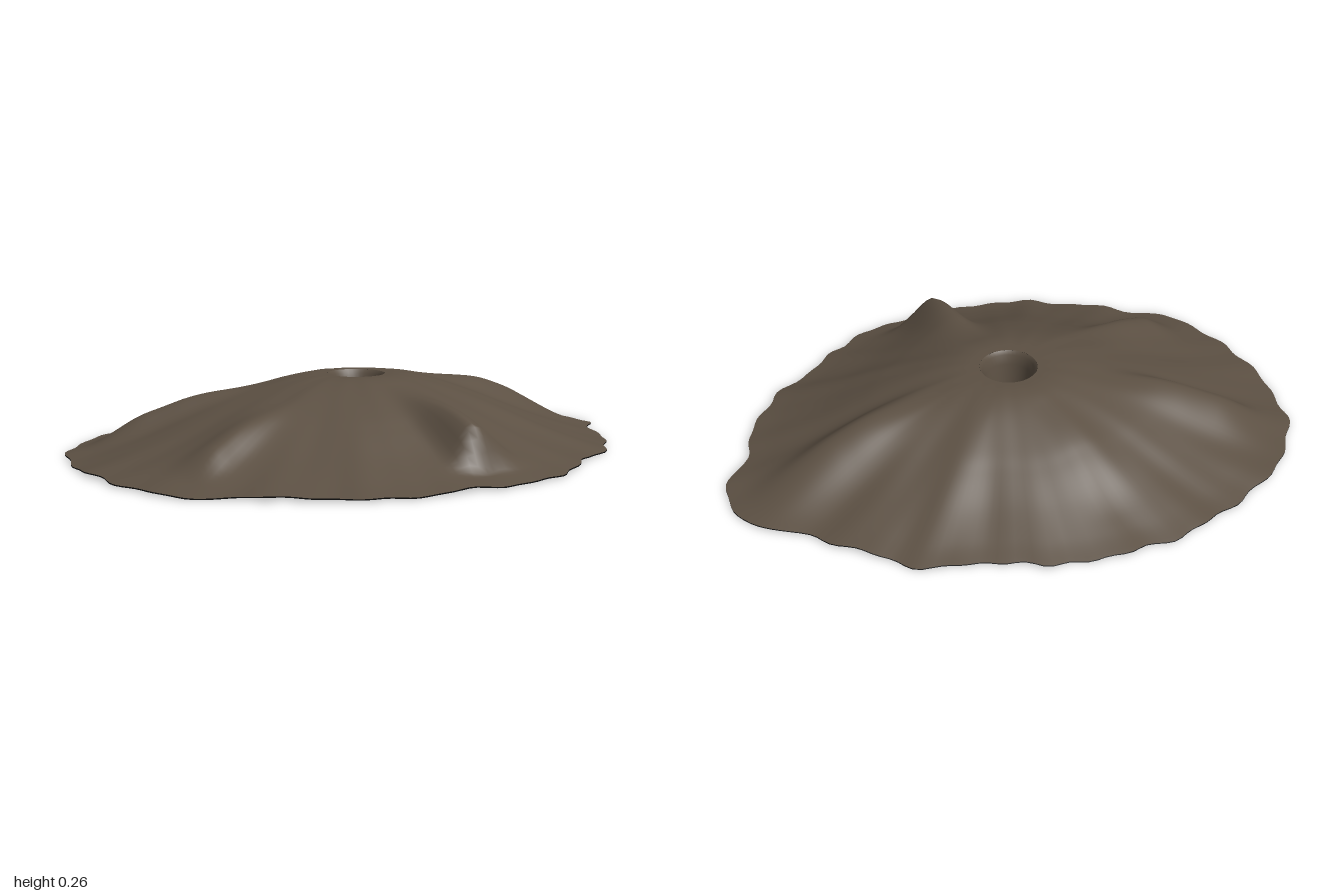
import * as THREE from 'three';

const CX = -0.015, CZ = 0.01, HOLE = 0.1;
const SEG = 192, RINGS = 56;

// Rim outline seen from above, as x, z pairs
const OUTLINE = [
  [0.1, -1], [0.2, -0.9], [0.4, -0.79], [0.56, -0.63], [0.63, -0.48], [0.76, -0.27],
  [0.8, -0.05], [0.77, 0.2], [0.73, 0.4], [0.6, 0.6], [0.41, 0.83], [0.34, 0.91],
  [0.2, 0.96], [0, 0.99], [-0.2, 0.98], [-0.42, 0.92], [-0.58, 0.8], [-0.7, 0.61],
  [-0.75, 0.44], [-0.8, 0.25], [-0.79, 0.05], [-0.73, -0.2], [-0.61, -0.42],
  [-0.57, -0.55], [-0.4, -0.71], [-0.2, -0.88], [-0.09, -0.99],
];

// Slope from the hole (0) to the rim (1), with its height
const PROFILE = [
  [0, 0.268], [0.07, 0.267], [0.15, 0.257], [0.26, 0.232], [0.43, 0.182],
  [0.545, 0.143], [0.716, 0.085], [0.886, 0.038], [1, 0.014],
];

// Ridges: direction, start, full from, full to, end, height, width on each side
const RIDGES = [
  { u: [0.03, -1], s: [0.25, 0.6, 0.65, 0.98], h: 0.045, w: [0.12, 0.06] },
  { u: [1, 0.03], s: [0.22, 0.64, 0.66, 0.74], h: 0.115, w: [0.11, 0.06] },
  { u: [0.34, 0.94], s: [0.35, 0.68, 0.74, 0.89], h: 0.045, w: [0.045, 0.1] },
  { u: [-0.43, 0.84], s: [0.28, 0.62, 0.72, 0.94], h: 0.05, w: [0.05, 0.13] },
  { u: [-1, 0.08], s: [0.22, 0.42, 0.45, 0.65], h: 0.02, w: [0.1, 0.07] },
];

function ridgeHeight(x, z) {
  let sum = 0;
  for (const { u, s, h, w } of RIDGES) {
    const len = Math.hypot(u[0], u[1]);
    const along = (x * u[0] + z * u[1]) / len;
    const side = (z * u[0] - x * u[1]) / len;
    const env = THREE.MathUtils.smoothstep(along, s[0], s[1])
      * (1 - THREE.MathUtils.smoothstep(along, s[2], s[3]));
    sum += h * env * Math.exp(-((side / (side < 0 ? w[0] : w[1])) ** 2));
  }
  return sum;
}

// Mound surface: rings lofted from the hole out to the scalloped rim
function moundGeometry() {
  const rim = new THREE.CatmullRomCurve3(
    OUTLINE.map(([x, z]) => new THREE.Vector3(x, 0, z)), true).getSpacedPoints(SEG);
  const profile = new THREE.SplineCurve(PROFILE.map(p => new THREE.Vector2(...p)));
  const pos = [], index = [];
  for (let j = 0; j <= RINGS; j++) {
    const p = profile.getPoint(j / RINGS);
    for (let i = 0; i < SEG; i++) {
      const dx = rim[i].x - CX, dz = rim[i].z - CZ;
      const a = Math.atan2(dz, dx);
      const scallop = 0.006 * Math.sin(35 * a) + 0.005 * Math.sin(22 * a + 1);
      const R = Math.hypot(dx, dz) + scallop * p.x * p.x;
      const r = HOLE + (R - HOLE) * p.x;
      const x = r * Math.cos(a), z = r * Math.sin(a);
      const ripple = 0.003 * p.x * (Math.sin(17 * a + 5 * p.x) + Math.sin(9 * a - 6 * p.x));
      pos.push(x + CX, p.y + ridgeHeight(x, z) + ripple, z + CZ);
      if (j < RINGS) {
        const k = (i + 1) % SEG, o = j * SEG, n = o + SEG;
        index.push(o + i, o + k, n + i, o + k, n + k, n + i);
      }
    }
  }
  const g = new THREE.BufferGeometry();
  g.setAttribute('position', new THREE.Float32BufferAttribute(pos, 3));
  g.setIndex(index);
  g.computeVertexNormals();
  return g;
}

// Same surface facing the other way
function flipped(geometry) {
  const g = geometry.clone();
  g.setIndex(Array.from(geometry.index.array).reverse());
  g.computeVertexNormals();
  return g;
}

export function createModel() {
  const group = new THREE.Group();
  group.name = 'ventMound';
  const earth = new THREE.MeshStandardMaterial({ color: 0x5c5043 });
  earth.name = 'brownEarth';
  const dark = new THREE.MeshStandardMaterial({ color: 0x090909, side: THREE.DoubleSide });
  dark.name = 'darkInterior';
  const add = (name, geometry, material, x = 0, y = 0, z = 0) => {
    const mesh = new THREE.Mesh(geometry, material);
    mesh.name = name;
    mesh.position.set(x, y, z);
    group.add(mesh);
    return mesh;
  };

  // Outer slope and its dark hollow underside
  const mound = moundGeometry();
  add('moundSurface', mound, earth);
  add('moundUnderside', flipped(mound), dark, 0, -0.004, 0);

  // Tapering vent shaft, brown inside and dark outside
  const shaft = [[0.1, 0.268], [0.09, 0.255], [0.082, 0.22], [0.072, 0.12], [0.065, 0.03]];
  const lathe = d => new THREE.LatheGeometry(
    shaft.map(([r, y]) => new THREE.Vector2(r + d, y - d)), 40);
  add('ventWall', lathe(0), earth, CX, 0, CZ);
  add('ventOuterWall', flipped(lathe(0.003)), dark, CX, 0, CZ);

  // Closed floor of the vent
  const floor = add('ventFloor', new THREE.CircleGeometry(0.067, 40), dark, CX, 0.03, CZ);
  floor.rotation.x = -Math.PI / 2;
  return group;
}
